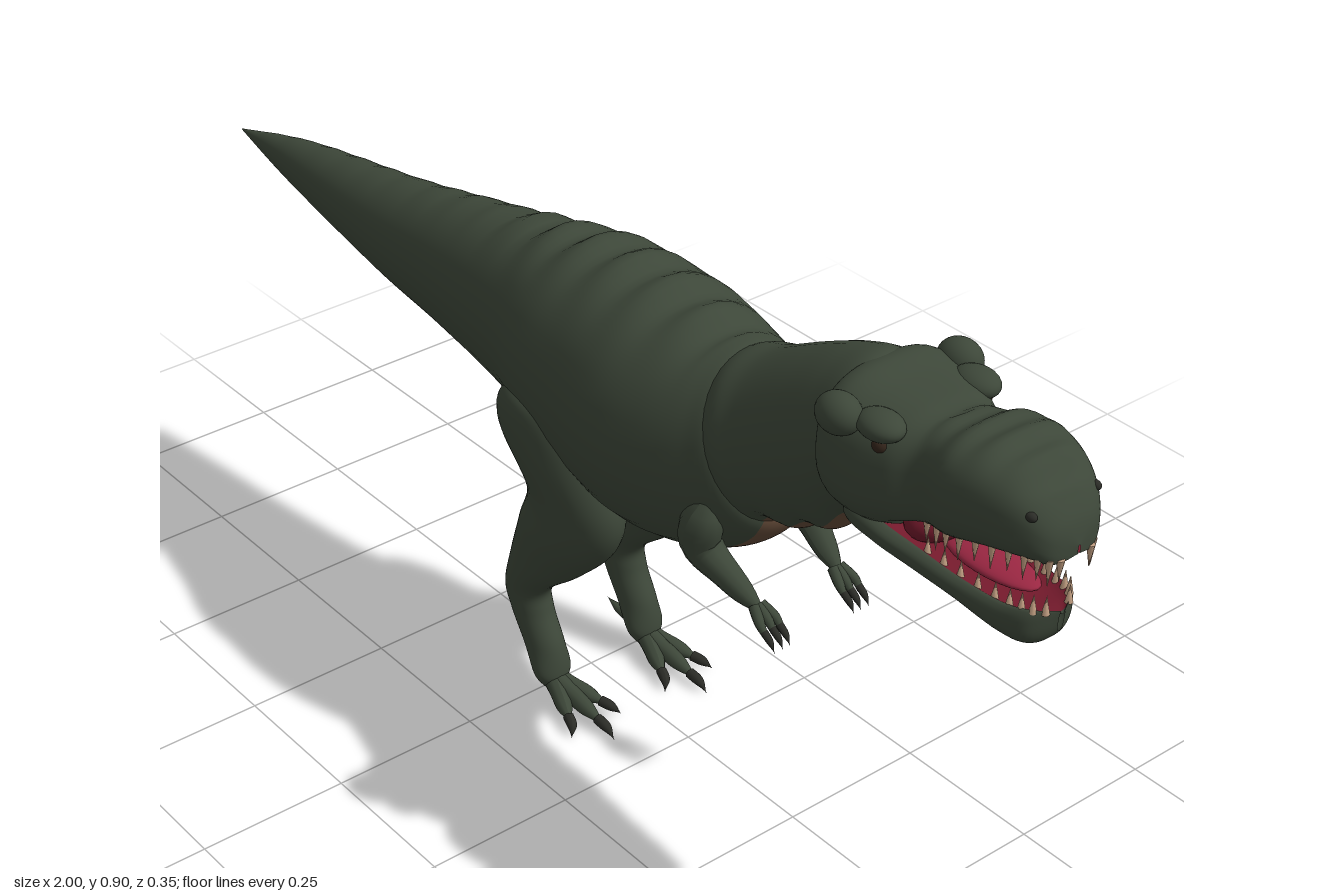
import * as THREE from 'three';

const mat = (name, color) => {
  const m = new THREE.MeshStandardMaterial({ color, side: THREE.DoubleSide });
  m.name = name;
  return m;
};

// Catmull-Rom through rows of numbers; u runs in row units
function sample(rows, u) {
  const i = Math.min(Math.floor(u), rows.length - 2), f = u - i;
  const r = k => rows[Math.max(0, Math.min(rows.length - 1, k))];
  return rows[0].map((_, c) => {
    const a = r(i - 1)[c], b = r(i)[c], d = r(i + 1)[c], e = r(i + 2)[c];
    return b + 0.5 * f * (d - a + f * (2 * a - 5 * b + 4 * d - e + f * (3 * (b - d) + e - a)));
  });
}

// Skin over rows of [ax, ay, bx, by, halfWidth, centreZ]; each ring spans point a to point b.
// A band of angle stripe(w, u) each side of b (turned by shift) gets the second material.
function loft(name, rows, mats, { stripe = () => 0.4, range = [0, 99], shift = 0, pow = 1, warp } = {}) {
  const N = 44, BAND = 12, STEPS = 8, rings = (rows.length - 1) * STEPS;
  const pos = [], main = [], band = [];
  for (let i = 0; i <= rings; i++) {
    const u = i / STEPS, [ax, ay, bx, by, w0, zc = 0] = sample(rows, u);
    const w = Math.max(w0, 0.0005), a = stripe(w, u);
    for (let j = 0; j < N; j++) {
      const d = j <= BAND ? -a + 2 * a * j / BAND : a + (2 * Math.PI - 2 * a) * (j - BAND) / (N - BAND);
      const t = Math.PI + shift + d;
      const sq = v => Math.sign(v) * Math.abs(v) ** pow;
      const c = sq(Math.cos(t)) / 2, s = sq(Math.sin(t));
      const p = new THREE.Vector3((ax + bx) / 2 + (ax - bx) * c, (ay + by) / 2 + (ay - by) * c, zc + w * s);
      if (warp) warp(p, t, j <= BAND ? 1 - (d / a) ** 2 : 0, (ay - by) / 2);
      pos.push(p.x, p.y, p.z);
      if (i < rings) {
        const k = (j + 1) % N, q = i * N;
        const inBand = j < BAND && u >= range[0] && u < range[1];
        (inBand ? band : main).push(q + j, q + k, q + N + j, q + k, q + N + k, q + N + j);
      }
    }
  }
  const g = new THREE.BufferGeometry();
  g.setAttribute('position', new THREE.Float32BufferAttribute(pos, 3));
  g.setIndex([...main, ...band]);
  g.addGroup(0, main.length, 0);
  g.addGroup(main.length, band.length, 1);
  g.computeVertexNormals();
  const m = new THREE.Mesh(g, mats);
  m.name = name;
  return m;
}

// Tube whose radius follows a list of radii
function taper(name, pts, radii, material) {
  const curve = new THREE.CatmullRomCurve3(pts.map(p => new THREE.Vector3(...p)));
  const S = 20, R = 12, g = new THREE.TubeGeometry(curve, S, 1, R);
  const p = g.attributes.position, v = new THREE.Vector3();
  for (let i = 0; i <= S; i++) {
    const c = curve.getPointAt(i / S);
    const r = Math.max(0.0004, sample(radii.map(x => [x]), i / S * (radii.length - 1))[0]);
    for (let j = 0; j <= R; j++) {
      const k = i * (R + 1) + j;
      v.fromBufferAttribute(p, k).sub(c).multiplyScalar(r).add(c);
      p.setXYZ(k, v.x, v.y, v.z);
    }
  }
  g.computeVertexNormals();
  const m = new THREE.Mesh(g, material);
  m.name = name;
  return m;
}

function ball(name, at, size, material) {
  const m = new THREE.Mesh(new THREE.SphereGeometry(1, 24, 16), material);
  m.name = name;
  m.position.set(...at);
  m.scale.set(...size);
  return m;
}

export function createModel() {
  const root = new THREE.Group();
  root.name = 'dinosaur';
  const hide = mat('green hide', 0x3d4739), belly = mat('brown belly', 0x634a38);
  const mouth = mat('mouth red', 0x741a2c), tongueMat = mat('tongue pink', 0x9a2742);
  const ivory = mat('tooth ivory', 0xc4a184), claw = mat('claw dark', 0x2b2c27);
  const eyeMat = mat('eye brown', 0x33241a);
  const skin = [hide, belly], gums = [hide, mouth];
  const strip = w => Math.asin(Math.min(0.45, 0.05 / w));

  // Tail and torso, with a lumpy spine
  root.add(loft('torsoAndTail', [
    [-1, 0.6, -1, 0.598, 0.001], [-0.8, 0.652, -0.8, 0.567, 0.04], [-0.5, 0.7, -0.5, 0.525, 0.08],
    [-0.3, 0.742, -0.3, 0.508, 0.105], [-0.1, 0.785, -0.1, 0.485, 0.135], [0, 0.806, 0, 0.462, 0.16],
    [0.1, 0.814, 0.1, 0.425, 0.168], [0.2, 0.808, 0.2, 0.408, 0.174], [0.28, 0.795, 0.3, 0.42, 0.158],
    [0.34, 0.785, 0.4, 0.465, 0.132], [0.38, 0.772, 0.46, 0.53, 0.108], [0.41, 0.72, 0.45, 0.6, 0.05],
  ], skin, {
    stripe: strip,
    warp: (p, t) => {
      const k = Math.max(0, Math.cos(t)) ** 8;
      p.y += k * (p.x > -0.2 && p.x < 0.33 ? 0.009 : 0.003) * Math.sin(p.x * 75) * Math.min(1, (p.x + 1) * 3);
    },
  }));

  // Neck, with folds on the throat
  root.add(loft('neck', [
    [0.33, 0.76, 0.43, 0.52, 0.1], [0.37, 0.788, 0.47, 0.55, 0.12], [0.42, 0.807, 0.5, 0.56, 0.116],
    [0.5, 0.85, 0.54, 0.575, 0.11], [0.57, 0.883, 0.59, 0.605, 0.105], [0.63, 0.898, 0.645, 0.66, 0.1],
    [0.67, 0.87, 0.69, 0.7, 0.08],
  ], skin, { stripe: strip, warp: (p, t) => { p.y += 0.008 * Math.max(0, -Math.cos(t)) ** 4 * Math.sin(p.x * 95); } }));

  // Skull: the underside is a hollowed red palate
  const skull = [
    [0.635, 0.85, 0.635, 0.74, 0.05], [0.62, 0.885, 0.615, 0.715, 0.1], [0.645, 0.898, 0.645, 0.69, 0.122],
    [0.69, 0.888, 0.7, 0.685, 0.12], [0.74, 0.88, 0.75, 0.7, 0.105], [0.78, 0.874, 0.795, 0.718, 0.086],
    [0.84, 0.892, 0.85, 0.733, 0.103], [0.9, 0.893, 0.91, 0.748, 0.094], [0.955, 0.868, 0.962, 0.755, 0.073],
    [0.988, 0.825, 0.992, 0.756, 0.045], [1, 0.785, 1, 0.77, 0.002],
  ];
  root.add(loft('skull', skull, gums, {
    stripe: () => 0.85, range: [4, 99], pow: 0.75,
    warp: (p, t, k, half) => {
      if (p.x > 0.74) p.y += k * half * 0.45;
      if (p.x > 0.78 && p.x < 0.97) p.y += 0.004 * Math.max(0, Math.cos(t)) ** 4 * Math.sin(p.x * 130);
    },
  }));

  // Lower jaw: its red floor faces up
  const jaw = [
    [0.64, 0.73, 0.64, 0.69, 0.05], [0.66, 0.73, 0.66, 0.67, 0.088], [0.72, 0.715, 0.72, 0.662, 0.092],
    [0.78, 0.7, 0.78, 0.648, 0.08], [0.85, 0.687, 0.85, 0.636, 0.07], [0.92, 0.685, 0.92, 0.617, 0.06],
    [0.963, 0.69, 0.96, 0.615, 0.045], [0.985, 0.68, 0.982, 0.64, 0.005],
  ];
  root.add(loft('lowerJaw', jaw, gums, {
    stripe: () => 0.9, range: [2, 6.6], shift: Math.PI, pow: 0.75,
    warp: (p, t, k, half) => { p.y -= k * half * 0.6; },
  }));
  root.add(ball('mouthBack', [0.765, 0.715, 0], [0.04, 0.04, 0.07], mouth));
  root.add(ball('tongue', [0.855, 0.682, 0], [0.085, 0.012, 0.034], tongueMat));

  // Teeth along both lips
  const teeth = new THREE.Group();
  teeth.name = 'teeth';
  const addTeeth = (rows, from, to, count, up) => {
    for (let i = 0; i < count; i++) {
      const [ax, ay, bx, by, w] = sample(rows, from + (to - from) * i / (count - 1));
      const len = up ? 0.03 : 0.036 + 0.008 * (i % 2), mid = (ay + by) / 2, half = (ay - by) / 2;
      for (const s of [1, -1]) {
        const tooth = new THREE.Mesh(new THREE.ConeGeometry(0.006, len, 8), ivory);
        tooth.name = up ? 'lowerTooth' : 'upperTooth';
        tooth.position.set(up ? ax : bx, up ? mid + half * 0.7 + len * 0.3 : mid - half * 0.78 - len * 0.3, s * w * 0.76);
        if (!up) tooth.rotation.x = Math.PI;
        teeth.add(tooth);
      }
    }
  };
  addTeeth(skull, 5, 9.2, 11, false);
  addTeeth(jaw, 3.2, 6.4, 9, true);
  root.add(teeth);

  for (const s of [1, -1]) {
    const side = s > 0 ? 'left' : 'right';

    // Crest horns, brows, eyes and nostrils
    root.add(ball(side + 'Crest', [0.665, 0.863, s * 0.112], [0.036, 0.03, 0.03], hide));
    root.add(ball(side + 'Brow', [0.72, 0.862, s * 0.088], [0.038, 0.02, 0.03], hide));
    root.add(ball(side + 'Eye', [0.728, 0.837, s * 0.094], [0.014, 0.012, 0.012], eyeMat));
    root.add(ball(side + 'Nostril', [0.965, 0.835, s * 0.059], [0.01, 0.007, 0.007], claw));

    // Leg from hip to ankle
    root.add(loft(side + 'Leg', [
      [0.05, 0.605, 0, 0.605, 0.01, 0.12], [0.1, 0.575, -0.05, 0.58, 0.052, 0.112],
      [0.15, 0.5, -0.077, 0.525, 0.072, 0.098], [0.18, 0.415, -0.015, 0.425, 0.062, 0.095],
      [0.16, 0.345, -0.04, 0.34, 0.059, 0.094], [0.09, 0.27, -0.066, 0.26, 0.046, 0.096],
      [0.01, 0.2, -0.084, 0.185, 0.035, 0.097], [0.008, 0.155, -0.068, 0.14, 0.032, 0.097],
      [0.035, 0.1, -0.036, 0.09, 0.031, 0.097], [0.045, 0.05, -0.005, 0.05, 0.033, 0.097],
      [0.04, 0.02, 0, 0.02, 0.015, 0.097],
    ].map(r => [...r.slice(0, 5), r[5] * s]), skin, { range: [2.8, 5.5], shift: 0.75 * s, stripe: () => 0.4 }));

    // Three front toes and a small hind toe, each with a claw
    for (const [dx, dz] of [[0.125, 0], [0.09, 0.035], [0.09, -0.035]]) {
      const z = s * 0.097, q = f => [0.02 + dx * f, 0.036 - 0.018 * f, z + dz * f];
      root.add(taper(side + 'Toe', [q(0), q(0.5), q(1), q(1.08)], [0.018, 0.015, 0.013, 0.002], hide));
      root.add(taper(side + 'ToeClaw', [q(0.95), q(1.15), [0.02 + dx * 1.29, 0.003, z + dz * 1.45]], [0.009, 0.008, 0], claw));
    }
    root.add(taper(side + 'HindToe', [[0, 0.06, s * 0.085], [-0.02, 0.07, s * 0.075], [-0.042, 0.084, s * 0.068]], [0.012, 0.008, 0], hide));

    // Arm and clawed fingers
    root.add(taper(side + 'Arm', [
      [0.405, 0.6, s * 0.1], [0.393, 0.55, s * 0.106], [0.385, 0.497, s * 0.1],
      [0.435, 0.458, s * 0.088], [0.495, 0.425, s * 0.077], [0.505, 0.42, s * 0.076],
    ], [0.004, 0.031, 0.032, 0.024, 0.017, 0.002], hide));
    for (const dz of [0.016, 0, -0.014]) {
      const z = s * (0.077 + dz * 0.4), tip = s * (0.077 + dz);
      root.add(taper(side + 'Finger', [[0.485, 0.432, z], [0.51, 0.417, tip], [0.522, 0.405, tip]], [0.009, 0.008, 0.005], hide));
      root.add(taper(side + 'FingerClaw', [[0.518, 0.41, tip], [0.532, 0.4, tip], [0.542, 0.386, tip]], [0.006, 0.005, 0], claw));
    }
  }
  return root;
}
